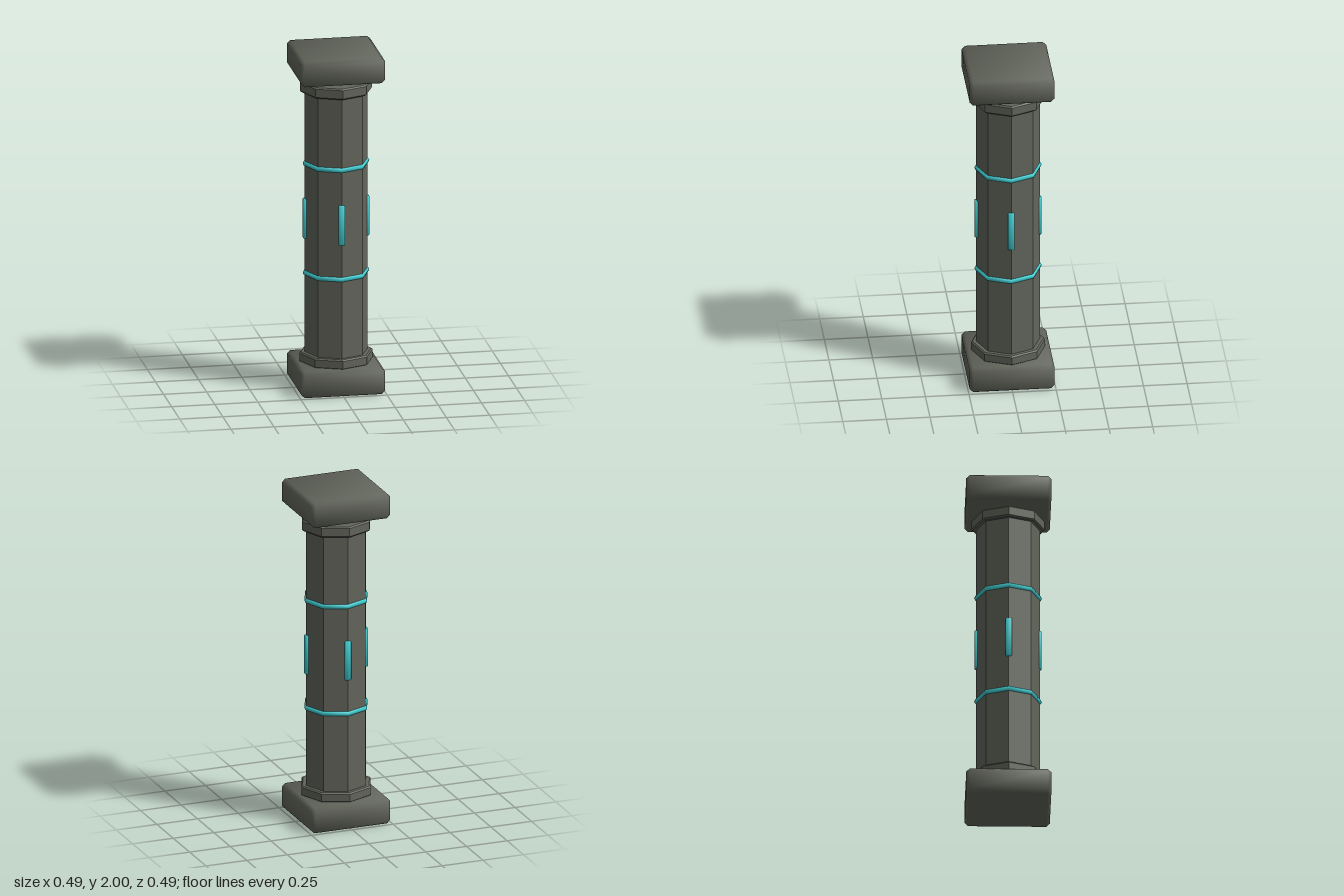
import * as THREE from 'three';
import { ConvexGeometry } from 'three/addons/geometries/ConvexGeometry.js';

// Box with chamfered edges and soft shading that runs over the chamfers
function chamferBox(w, h, d, c) {
  const half = [w / 2, h / 2, d / 2];
  const points = [];
  for (const sx of [-1, 1]) for (const sy of [-1, 1]) for (const sz of [-1, 1]) {
    for (let axis = 0; axis < 3; axis++) {
      const p = [sx, sy, sz].map((s, i) => s * (half[i] - (i === axis ? 0 : c)));
      points.push(new THREE.Vector3(...p));
    }
  }
  const geo = new ConvexGeometry(points);
  const pos = geo.attributes.position;
  const n = new THREE.Vector3();
  for (let i = 0; i < pos.count; i++) {
    const p = [pos.getX(i), pos.getY(i), pos.getZ(i)];
    n.set(...p.map((v, k) => Math.sign(v) * (half[k] - Math.abs(v) < c / 2 ? 2.8 : 1.1))).normalize();
    geo.attributes.normal.setXYZ(i, n.x, n.y, n.z);
  }
  return geo;
}

// Eight-sided turned solid with flat facets, from [radius, y] pairs, bottom to top
function octagon(profile) {
  const lathe = new THREE.LatheGeometry(profile.map(([r, y]) => new THREE.Vector2(r, y)), 8);
  const geo = lathe.toNonIndexed();
  geo.computeVertexNormals();
  return geo;
}

// Closed octagonal collar with chamfered rims
function collar(r, y0, y1, c) {
  return octagon([[0, y0], [r - c, y0], [r, y0 + c], [r, y1 - c], [r - c, y1], [0, y1]]);
}

export function createModel() {
  const stone = new THREE.MeshStandardMaterial({ color: 0x63665c });
  stone.name = 'stone';
  const glow = new THREE.MeshStandardMaterial({ color: 0x3fd0d4 });
  glow.name = 'cyan inlay';

  const model = new THREE.Group();
  model.name = 'pillar';
  const add = (name, geo, mat, x = 0, y = 0, z = 0) => {
    const mesh = new THREE.Mesh(geo, mat);
    mesh.name = name;
    mesh.position.set(x, y, z);
    model.add(mesh);
    return mesh;
  };

  // Square plinth and the floating top slab
  add('plinth', chamferBox(0.486, 0.155, 0.486, 0.02), stone, 0, 0.0775, 0);
  add('topSlab', chamferBox(0.486, 0.15, 0.486, 0.02), stone, 0, 1.925, 0);

  // Octagonal shaft with a collar at each end
  add('shaft', octagon([[0.183, 0.16], [0.183, 1.8]]), stone);
  add('baseCollar', collar(0.213, 0.15, 0.21, 0.008), stone);
  add('topCollar', collar(0.209, 1.755, 1.82, 0.008), stone);

  // Rounded bands around the shaft
  for (const [name, y] of [['lowerBand', 0.68], ['upperBand', 1.33]]) {
    add(name, new THREE.TorusGeometry(0.177, 0.016, 8, 8).rotateX(Math.PI / 2), glow, 0, y, 0);
  }

  // Upright inlays on the four main edges
  ['front', 'left', 'back', 'right'].forEach((side, i) => {
    const a = i * Math.PI / 2;
    const r = 0.176;
    const inlay = add(side + 'Inlay', chamferBox(0.037, 0.236, 0.032, 0.005), glow,
      Math.sin(a) * r, 1.003, Math.cos(a) * r);
    inlay.rotation.y = a;
  });

  return model;
}
